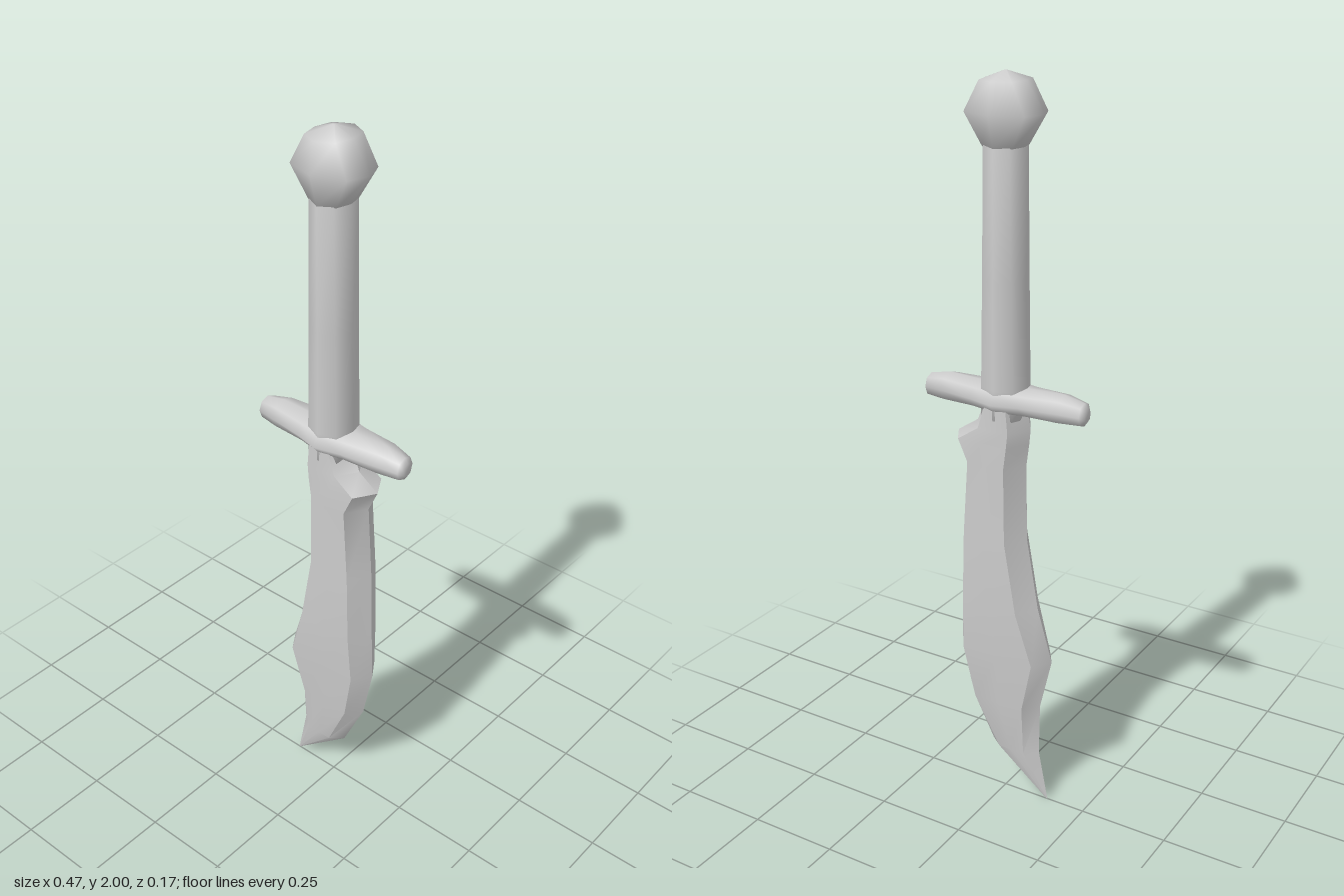
import * as THREE from 'three';
import { toCreasedNormals } from 'three/addons/utils/BufferGeometryUtils.js';

const V = (x, y, z) => new THREE.Vector3(x, y, z);

// Skin a list of equal-length rings, closing both ends with a fan.
function loft(rings) {
  const n = rings[0].length, last = (rings.length - 1) * n;
  const points = rings.flat(), index = [];
  for (let r = 0; r < rings.length - 1; r++) {
    for (let i = 0; i < n; i++) {
      const a = r * n + i, b = r * n + (i + 1) % n;
      index.push(a, b, b + n, a, b + n, a + n);
    }
  }
  const centre = ring => ring.reduce((s, p) => s.add(p), V(0, 0, 0)).divideScalar(n);
  const c0 = points.push(centre(rings[0])) - 1;
  const c1 = points.push(centre(rings[rings.length - 1])) - 1;
  for (let i = 0; i < n; i++) {
    const j = (i + 1) % n;
    index.push(c0, j, i, c1, last + i, last + j);
  }
  const g = new THREE.BufferGeometry().setFromPoints(points);
  g.setIndex(index);
  g.computeVertexNormals();
  return g;
}

// Eight-sided oval; k sets how full the diagonal corners are.
function oval(place, a, b, kx = 0.72, ky = 0.72) {
  return [[1, 0], [kx, ky], [0, 1], [-kx, ky], [-1, 0], [-kx, -ky], [0, -1], [kx, -ky]]
    .map(([u, v]) => place(u * a, v * b));
}

export function createModel() {
  const group = new THREE.Group();
  const material = new THREE.MeshStandardMaterial({ color: 0xcccccc });
  const add = (name, geometry) => {
    const mesh = new THREE.Mesh(geometry, material);
    mesh.name = name;
    group.add(mesh);
  };

  // Blade: [height, right edge, left edge, half thickness], bevelled both sides
  const blade = [
    [0.005, -0.137, -0.134, 0.001],
    [0.15, -0.108, 0.04, 0.03],
    [0.3, -0.11, 0.11, 0.045],
    [0.45, -0.145, 0.14, 0.056],
    [0.6, -0.1, 0.135, 0.065],
    [0.8, -0.065, 0.13, 0.064],
    [1.01, -0.062, 0.117, 0.063],
    [1.07, -0.07, 0.145, 0.063],
    [1.11, -0.074, 0.085, 0.062],
    [1.17, -0.065, 0.062, 0.062],
  ].map(([y, x0, x1, t]) => {
    const inset = Math.min(0.035, (x1 - x0) * 0.25), mid = (x0 + x1) / 2, s = t * 0.93;
    return [
      V(x1, y, 0), V(x1 - inset, y, -s), V(mid, y, -t), V(x0 + inset, y, -s),
      V(x0, y, 0), V(x0 + inset, y, s), V(mid, y, t), V(x1 - inset, y, s),
    ];
  });
  add('blade', toCreasedNormals(loft(blade), 0.75));

  // Grip: slightly tapering oval
  const across = y => (u, v) => V(u, y, -v);
  add('grip', loft([[1.14, 0.065, 0.063], [1.22, 0.064, 0.063], [1.5, 0.058, 0.062], [1.84, 0.052, 0.061]]
    .map(([y, a, b]) => oval(across(y), a, b))));

  // Pommel: faceted flare with a shallow domed top
  add('pommel', loft([[1.825, 0.052, 0.061], [1.905, 0.105, 0.083], [1.98, 0.057, 0.072], [2, 0.004, 0.004]]
    .map(([y, a, b]) => oval(across(y), a, b, 0.8, 0.67))));

  // Crossguard: [x, middle height, half height, half depth], mirrored about x = 0
  const half = [
    [0, 1.188, 0.036, 0.081],
    [0.07, 1.188, 0.034, 0.062],
    [0.17, 1.187, 0.038, 0.046],
    [0.228, 1.182, 0.031, 0.031],
    [0.237, 1.182, 0.018, 0.016],
  ];
  const bar = [...half.slice(1).reverse().map(([x, ...r]) => [-x, ...r]), ...half];
  add('crossguard', loft(bar.map(([x, y, a, b]) => oval((u, v) => V(x, y + u, v), a, b))));

  return group;
}
